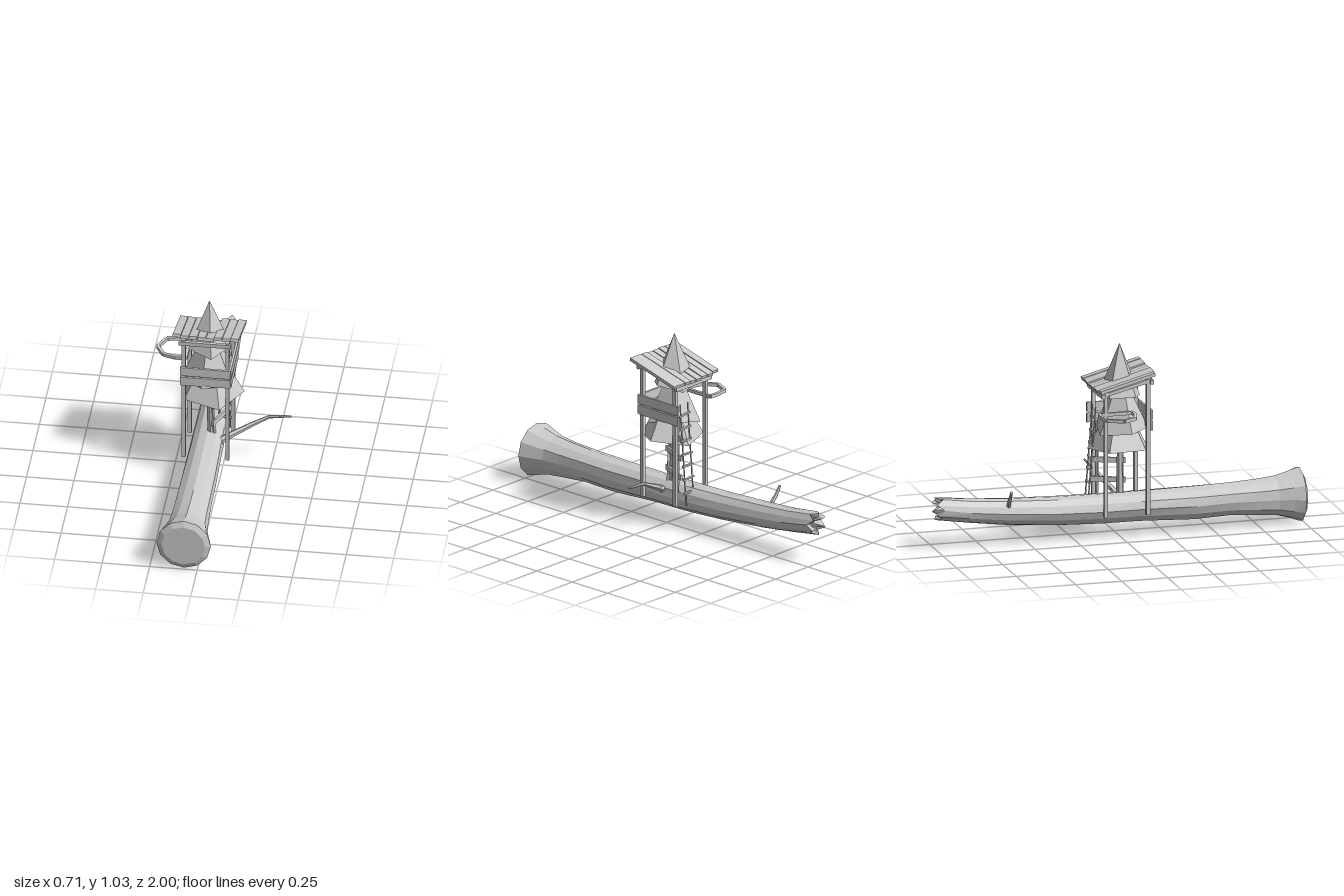
import * as THREE from 'three';

const mat = new THREE.MeshStandardMaterial({ color: 0xcccccc, flatShading: true, side: THREE.DoubleSide });

// Small seeded wobble for hand-built irregularity, -1..1
let seed = 7;
const wobble = () => { seed = (seed * 16807) % 2147483647; return (seed / 2147483647) * 2 - 1; };

function add(parent, name, geometry, x = 0, y = 0, z = 0) {
  const m = new THREE.Mesh(geometry, mat);
  m.name = name;
  m.position.set(x, y, z);
  parent.add(m);
  return m;
}

function group(parent, name) {
  const g = new THREE.Group();
  g.name = name;
  parent.add(g);
  return g;
}

const box = (parent, name, w, h, d, x, y, z) => add(parent, name, new THREE.BoxGeometry(w, h, d), x, y, z);

// Tapered round stick between two points
function stick(parent, name, a, b, r0, r1 = r0, sides = 6) {
  const p = new THREE.Vector3(...a), q = new THREE.Vector3(...b), d = q.clone().sub(p);
  const m = add(parent, name, new THREE.CylinderGeometry(r1, r0, d.length(), sides));
  m.position.copy(p).add(q).multiplyScalar(0.5);
  m.quaternion.setFromUnitVectors(new THREE.Vector3(0, 1, 0), d.normalize());
  return m;
}

// Flat board between two points
function board(parent, name, a, b, h, t) {
  const p = new THREE.Vector3(...a), q = new THREE.Vector3(...b);
  const m = add(parent, name, new THREE.BoxGeometry(t, h, p.distanceTo(q)));
  m.position.copy(p).add(q).multiplyScalar(0.5);
  m.lookAt(q);
  return m;
}

// Fallen trunk lofted through rings of [z, cx, cy, rx, ry, jaggedness]
function trunkGeometry() {
  const n = 12;
  const rings = [
    [1, -0.073, 0.15, 0, 0, 0],
    [1, -0.073, 0.15, 0.115, 0.115, 0],
    [0.985, -0.073, 0.15, 0.143, 0.145, 0],
    [0.93, -0.073, 0.15, 0.126, 0.126, 0],
    [0.85, -0.073, 0.15, 0.106, 0.105, 0],
    [0.75, -0.073, 0.15, 0.1, 0.096, 0],
    [0.6, -0.073, 0.153, 0.097, 0.086, 0],
    [0.4, -0.074, 0.148, 0.095, 0.088, 0],
    [0.1, -0.076, 0.153, 0.088, 0.08, 0],
    [-0.1, -0.078, 0.153, 0.085, 0.08, 0],
    [-0.35, -0.082, 0.16, 0.078, 0.077, 0],
    [-0.6, -0.086, 0.176, 0.068, 0.071, 0],
    [-0.8, -0.087, 0.195, 0.061, 0.064, 0],
    [-0.98, -0.087, 0.22, 0.056, 0.059, 0.02],
    [-0.975, -0.087, 0.22, 0.036, 0.038, 0.02],
    [-0.92, -0.087, 0.212, 0, 0, 0],
  ];
  const pos = [], idx = [];
  rings.forEach(([z, cx, cy, rx, ry, jag], i) => {
    for (let j = 0; j < n; j++) {
      const a = (j / n) * Math.PI * 2, k = i > 2 ? 1 + 0.035 * Math.sin(j * 2.4 + i * 0.5) : 1;
      pos.push(cx + rx * k * Math.sin(a), cy + ry * k * Math.cos(a), z + jag * (j % 2 ? 1 : -1));
      if (i < rings.length - 1) {
        const A = i * n + j, B = i * n + (j + 1) % n;
        idx.push(A, B, A + n, B, B + n, A + n);
      }
    }
  });
  const g = new THREE.BufferGeometry();
  g.setAttribute('position', new THREE.Float32BufferAttribute(pos, 3));
  g.setIndex(idx);
  g.computeVertexNormals();
  return g;
}

// Five-sided foliage tier with an uneven hem
function foliage(parent, x, z, bottom, top, r, hem, turn) {
  const h = top - bottom, g = new THREE.ConeGeometry(r, h, 5);
  const p = g.attributes.position;
  for (let i = 0; i < p.count; i++) {
    const px = p.getX(i), pz = p.getZ(i);
    if (Math.hypot(px, pz) > r * 0.5) p.setY(i, p.getY(i) + hem * (1 + Math.sin(Math.atan2(pz, px) * 2 + 1)));
  }
  g.computeVertexNormals();
  add(parent, 'foliageTier', g, x, bottom + h / 2, z).rotation.y = turn;
}

export function createModel() {
  const model = new THREE.Group();
  model.name = 'logWithLookout';

  // Fallen log, its twig and its long bent branch
  const log = group(model, 'fallenLog');
  add(log, 'logTrunk', trunkGeometry());
  stick(log, 'twig', [-0.13, 0.21, -0.61], [-0.165, 0.255, -0.615], 0.012, 0.011);
  stick(log, 'twig', [-0.165, 0.25, -0.615], [-0.203, 0.308, -0.615], 0.011, 0.007);
  const bends = [[-0.02, 0.175, 0.04], [0.055, 0.213, 0.01], [0.15, 0.257, -0.025], [0.235, 0.295, -0.05], [0.353, 0.304, -0.057]];
  for (let i = 0; i < 4; i++) stick(log, 'branch', bends[i], bends[i + 1], 0.021 - i * 0.004, 0.017 - i * 0.004);

  // Fir tree growing up through the tower
  const tree = group(model, 'firTree');
  stick(tree, 'treeTrunk', [-0.06, 0.17, 0.015], [-0.072, 0.6, 0.01], 0.022, 0.012);
  foliage(tree, -0.055, 0.015, 0.46, 0.78, 0.17, 0.012, 0.35);
  foliage(tree, -0.07, 0.015, 0.555, 0.89, 0.145, 0.015, 1.1);
  foliage(tree, -0.07, 0.01, 0.74, 1.035, 0.12, 0.016, 0.2);

  // Four posts standing astride the log
  const tower = group(model, 'lookoutTower');
  for (const x of [-0.189, 0.041]) {
    box(tower, 'frontPost', 0.02, 0.73, 0.02, x, 0.495, 0.13);
    box(tower, 'backPost', 0.02, 0.68, 0.02, x, 0.47, -0.1);
    // Sloping rafters
    board(tower, 'rafter', [x, 0.855, 0.15], [x, 0.785, -0.125], 0.018, 0.018);
  }
  box(tower, 'frontBeam', 0.275, 0.022, 0.018, -0.075, 0.848, 0.147);
  box(tower, 'backBeam', 0.275, 0.022, 0.018, -0.075, 0.787, -0.118);

  // Sloping plank roof
  const roof = group(tower, 'roof');
  roof.position.set(-0.07, 0.845, 0.012);
  roof.rotation.x = -0.265;
  const planks = 8, pitch = 0.35 / planks;
  for (let i = 0; i < planks; i++) {
    const m = box(roof, 'roofPlank', pitch * 0.96, 0.017, 0.315 + 0.01 * wobble(),
      (i - (planks - 1) / 2) * pitch, 0.005 * wobble() + 0.008, 0.003 * wobble());
    m.rotation.z = 0.06 * wobble();
  }

  // Railing boards on the front and left side
  for (const y of [0.612, 0.67]) {
    box(tower, 'frontRail', 0.265, 0.05, 0.012, -0.074, y, 0.146).rotation.z = 0.012 * wobble();
    box(tower, 'sideRail', 0.012, 0.05, 0.275, 0.056, y, 0.005).rotation.x = 0.02 * wobble();
  }

  // Open frame jutting out on the right side
  const frame = [[-0.19, -0.135], [-0.245, -0.137], [-0.312, -0.125], [-0.35, -0.045], [-0.31, 0.025], [-0.245, 0.045], [-0.19, 0.045]];
  for (let i = 0; i < frame.length; i++) {
    const [x0, z0] = frame[i], [x1, z1] = frame[(i + 1) % frame.length];
    board(tower, 'balconyFrame', [x0, 0.686, z0], [x1, 0.686, z1], 0.018, 0.016);
  }

  // Inner ladder with wide skewed steps
  const ladder = group(tower, 'ladder');
  stick(ladder, 'ladderRail', [-0.04, 0.2, 0.03], [-0.06, 0.6, 0.03], 0.008, 0.008, 4);
  stick(ladder, 'ladderRail', [0.01, 0.2, -0.09], [0.005, 0.6, -0.09], 0.008, 0.008, 4);
  for (const y of [0.29, 0.395, 0.5]) board(ladder, 'ladderStep', [-0.05, y, 0.048], [0.022, y, -0.125], 0.028, 0.012);

  // Rope ladder hanging off the back
  const rope = group(tower, 'ropeLadder');
  const ropeZ = (y) => -0.155 + (y - 0.14) * 0.08;
  for (const x of [-0.04, 0.018]) stick(rope, 'rope', [x, 0.14, ropeZ(0.14)], [x, 0.69, ropeZ(0.69)], 0.004, 0.004, 5);
  for (let i = 0; i < 7; i++) {
    const y = 0.21 + i * 0.07;
    stick(rope, 'rung', [-0.052, y + 0.006 * wobble(), ropeZ(y)], [0.028, y + 0.006 * wobble(), ropeZ(y)], 0.007, 0.007, 5);
  }

  return model;
}
